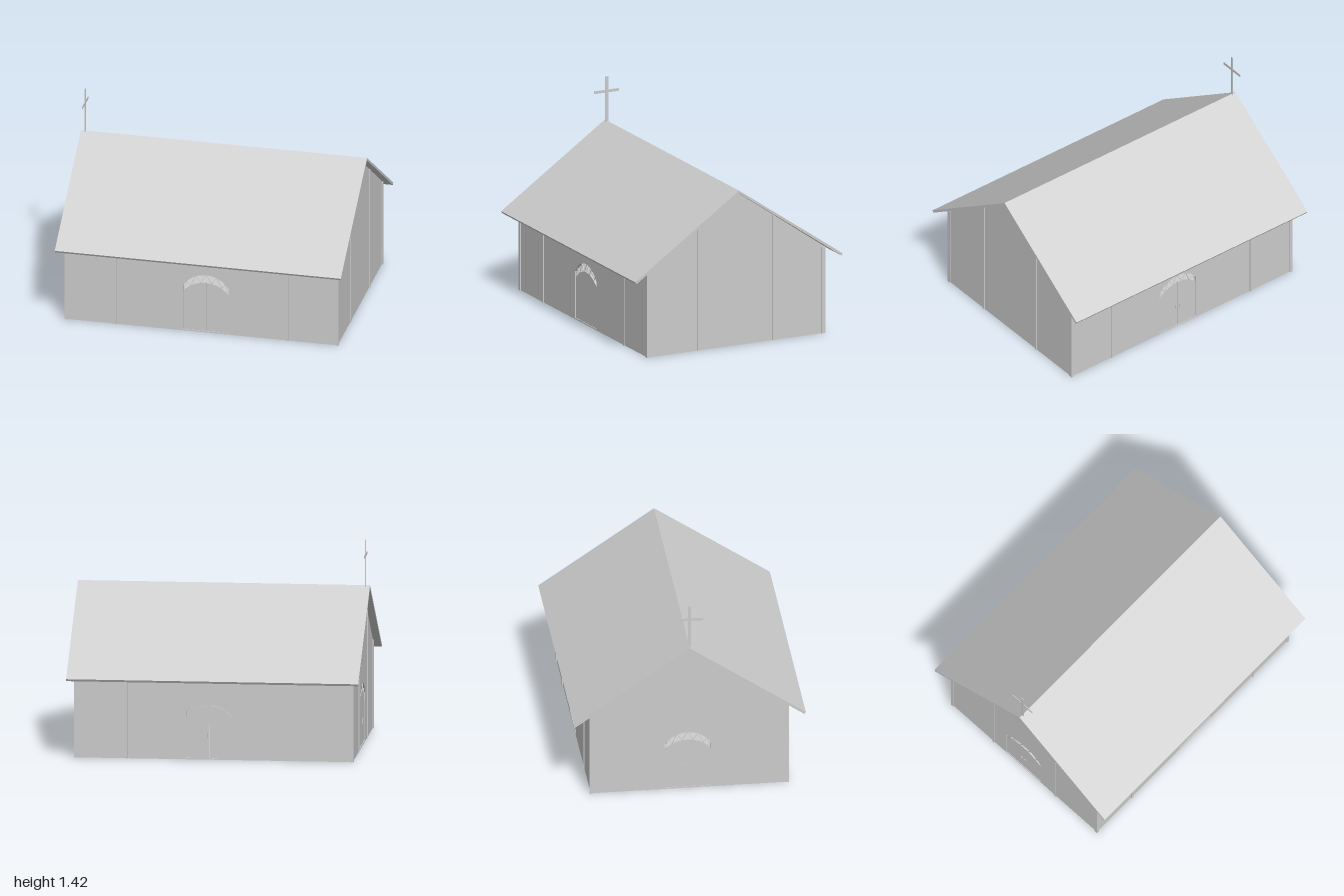
import * as THREE from 'three';

const grey = new THREE.MeshStandardMaterial({ color: 0xcccccc });
grey.name = 'plain grey';

const HALF_DOOR = 0.16;
const WALL = 0.02; // wall thickness
const underRoof = (z) => 1.088 - 0.698 * Math.abs(z);

function add(parent, name, geometry, x = 0, y = 0, z = 0) {
  const mesh = new THREE.Mesh(geometry, grey);
  mesh.name = name;
  mesh.position.set(x, y, z);
  parent.add(mesh);
  return mesh;
}

function box(parent, name, w, h, d, x, y, z) {
  return add(parent, name, new THREE.BoxGeometry(w, h, d), x, y, z);
}

// Points along a segmental arch, from right to left
function arch(cx, spring, rise, n = 10) {
  const r = (HALF_DOOR ** 2 + rise ** 2) / (2 * rise);
  const a = Math.asin(HALF_DOOR / r);
  return Array.from({ length: n + 1 }, (_, i) => {
    const t = a - (2 * a * i) / n;
    return new THREE.Vector2(cx + r * Math.sin(t), spring + rise - r + r * Math.cos(t));
  });
}

function extrude(shape, depth) {
  return new THREE.ExtrudeGeometry(shape, { depth, bevelEnabled: false }).translate(0, 0, -depth);
}

// Wall with an outer face at local z = 0; doorX = null gives a blank wall
function wall(name, outline, doorX, handles) {
  const group = new THREE.Group();
  group.name = name;
  const shape = new THREE.Shape(outline.map(([x, y]) => new THREE.Vector2(x, y)));
  if (doorX !== null) {
    const opening = [
      new THREE.Vector2(doorX - HALF_DOOR, 0.005),
      new THREE.Vector2(doorX + HALF_DOOR, 0.005),
      ...arch(doorX, 0.34, 0.09),
    ];
    shape.holes.push(new THREE.Path(opening));
    group.add(door(doorX, handles));
  }
  add(group, name + 'Panel', extrude(shape, WALL));
  return group;
}

// Double door below an open arched fanlight with zigzag bars
function door(cx, handles) {
  const group = new THREE.Group();
  group.name = 'door';
  const top = arch(cx, 0.29, 0.08);
  for (const side of [1, -1]) {
    const half = top.filter((p) => (p.x - cx) * side > -1e-6);
    const pts = side > 0
      ? [new THREE.Vector2(cx + 0.001, 0.01), new THREE.Vector2(cx + HALF_DOOR, 0.01), ...half]
      : [new THREE.Vector2(cx - HALF_DOOR, 0.01), new THREE.Vector2(cx - 0.001, 0.01), ...half];
    pts.forEach((p, i) => { if (Math.abs(p.x - cx) < 0.001) pts[i] = new THREE.Vector2(cx + side * 0.001, p.y); });
    add(group, 'doorLeaf', extrude(new THREE.Shape(pts), 0.012), 0, 0, -0.005);
    if (handles) {
      box(group, 'doorHandle', 0.006, 0.03, 0.008, cx + side * 0.015, 0.17, 0.002);
    }
  }
  box(group, 'threshold', HALF_DOOR * 2, 0.01, WALL, cx, 0.005, -WALL / 2);

  const outer = arch(cx, 0.34, 0.09);
  for (let i = 0; i < 10; i++) {
    const a = i % 2 ? outer[i] : top[i];
    const b = i % 2 ? top[i + 1] : outer[i + 1];
    const bar = box(group, 'fanlightBar', a.distanceTo(b), 0.003, 0.004,
      (a.x + b.x) / 2, (a.y + b.y) / 2, -0.008);
    bar.rotation.z = Math.atan2(b.y - a.y, b.x - a.x);
  }
  return group;
}

export function createModel() {
  const model = new THREE.Group();
  model.name = 'chapel';

  // Long walls
  const sideOutline = [[-0.95, 0], [0.95, 0], [0.95, underRoof(0.675)], [-0.95, underRoof(0.675)]];
  const front = wall('frontWall', sideOutline, 0.03, false);
  front.position.z = 0.675;
  const back = wall('backWall', sideOutline, -0.03, true);
  back.position.z = -0.675;
  back.rotation.y = Math.PI;

  // Gable walls
  const e = 0.675;
  const gableOutline = [[-e, 0], [e, 0], [e, underRoof(e)], [0, underRoof(0)], [-e, underRoof(e)]];
  const blank = wall('leftGable', gableOutline, null, false);
  blank.position.x = 0.95;
  blank.rotation.y = Math.PI / 2;
  const entrance = wall('rightGable', gableOutline, -0.01, true);
  entrance.position.x = -0.95;
  entrance.rotation.y = -Math.PI / 2;
  model.add(front, back, blank, entrance);

  // Floor
  box(model, 'floor', 1.9, 0.008, 1.35, 0, 0.004, 0);

  // Corner posts and wall battens
  for (const sx of [1, -1]) {
    for (const sz of [1, -1]) {
      box(model, 'cornerPost', 0.02, 0.612, 0.026, sx * 0.947, 0.306, sz * 0.67);
      box(model, 'sideBatten', 0.016, 0.612, 0.012, sx * 0.601, 0.306, sz * 0.676);
      box(model, 'gableBatten', 0.012, 0.885, 0.016, sx * 0.951, 0.4425, sz * 0.287);
    }
  }

  // Pitched roof with overhanging eaves
  const roofShape = new THREE.Shape([
    [-0.795, 0.56], [-0.786, 0.545], [0, 1.088], [0.786, 0.545], [0.795, 0.56], [0, 1.107],
  ].map(([z, y]) => new THREE.Vector2(z, y)));
  const roof = add(model, 'roof', extrude(roofShape, 2).translate(0, 0, 1));
  roof.rotation.y = Math.PI / 2;

  // Thin ridge cross
  box(model, 'crossPost', 0.005, 0.33, 0.02, -0.97, 1.255, 0);
  box(model, 'crossBar', 0.005, 0.019, 0.184, -0.97, 1.316, 0);

  return model;
}
